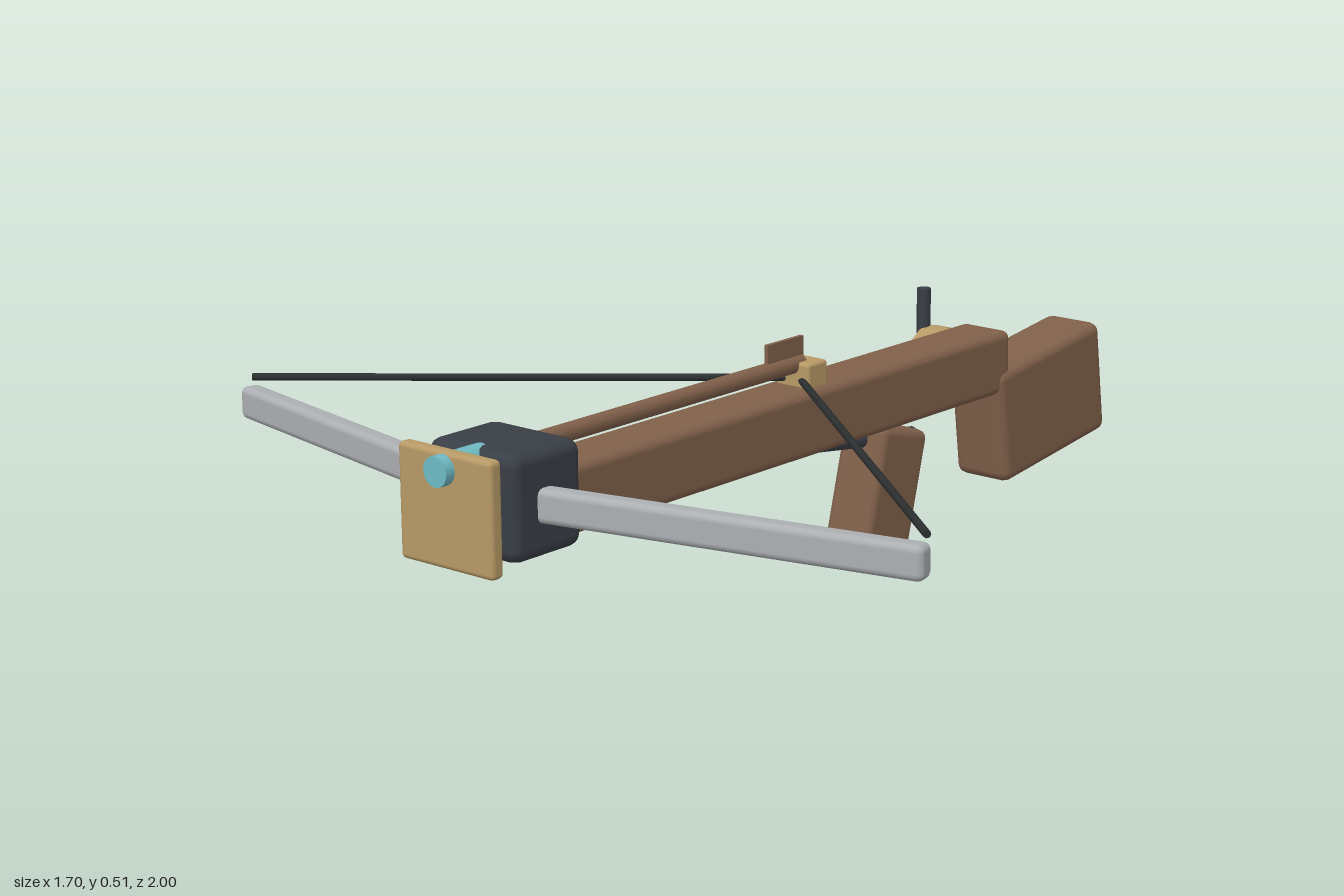
import * as THREE from 'three';
import { RoundedBoxGeometry } from 'three/addons/geometries/RoundedBoxGeometry.js';

const mat = (name, color) => Object.assign(new THREE.MeshStandardMaterial({ color }), { name });

export function createModel() {
  const wood = mat('wood', 0x80604a);
  const brass = mat('brass', 0xb89a66);
  const iron = mat('dark iron', 0x393e46);
  const steel = mat('steel', 0xacafb2);
  const teal = mat('teal tip', 0x6fbac4);
  const cord = mat('cord', 0x2c2f30);

  const model = new THREE.Group();
  model.name = 'crossbow';

  const add = (name, geometry, material, x, y, z) => {
    const mesh = new THREE.Mesh(geometry, material);
    mesh.name = name;
    mesh.position.set(x, y, z);
    model.add(mesh);
    return mesh;
  };
  // Box with softened edges
  const block = (name, material, [w, h, d], [x, y, z], radius) =>
    add(name, new RoundedBoxGeometry(w, h, d, 2, radius), material, x, y, z);
  // Round bar between two points
  const bar = (name, material, from, to, radius, sides = 12) => {
    const a = new THREE.Vector3(...from), b = new THREE.Vector3(...to);
    const dir = b.clone().sub(a);
    const mid = a.clone().add(b).multiplyScalar(0.5);
    const mesh = add(name, new THREE.CylinderGeometry(radius, radius, dir.length(), sides), material, mid.x, mid.y, mid.z);
    mesh.quaternion.setFromUnitVectors(new THREE.Vector3(0, 1, 0), dir.normalize());
    return mesh;
  };

  // Wooden body
  block('tiller', wood, [0.124, 0.135, 1.5], [0, 0.348, 0.1], 0.018);
  block('shoulderStock', wood, [0.138, 0.25, 0.375], [0, 0.228, -0.802], 0.022).rotation.x = 0.13;
  block('grip', wood, [0.114, 0.262, 0.155], [0, 0.145, -0.267], 0.02).rotation.x = -0.26;

  // Head and front plate
  block('headBlock', iron, [0.222, 0.204, 0.182], [0, 0.382, 0.824], 0.025);
  block('frontPlate', brass, [0.232, 0.22, 0.031], [0, 0.38, 0.963], 0.01);

  // Bow limbs and string, mirrored
  for (const s of [1, -1]) {
    const side = s > 0 ? 'left' : 'right';
    block(side + 'Limb', steel, [0.82, 0.066, 0.044], [s * 0.447, 0.38, 0.761], 0.014).rotation.y = s * 0.21;
    bar(side + 'String', cord, [s * 0.02, 0.428, 0], [s * 0.842, 0.428, 0.67], 0.0075, 8);
  }

  // Loaded bolt
  bar('boltShaft', wood, [0, 0.458, -0.02], [0, 0.458, 0.9], 0.018);
  bar('boltTip', teal, [0, 0.457, 0.88], [0, 0.457, 1], 0.029, 16);
  add('boltFin', new THREE.BoxGeometry(0.009, 0.05, 0.11), wood, 0, 0.488, 0.03);

  // Nut that holds the string
  block('nut', brass, [0.084, 0.06, 0.062], [0, 0.435, -0.025], 0.008);

  // Trigger bar through the grip
  bar('triggerBar', iron, [0, 0.277, -0.075], [0, 0.233, -0.385], 0.017);

  // Winding wheel and handle on the right side
  bar('crankWheel', brass, [-0.06, 0.335, -0.59], [-0.116, 0.335, -0.59], 0.076, 16);
  bar('crankHandle', iron, [-0.123, 0.335, -0.585], [-0.123, 0.491, -0.585], 0.015);

  return model;
}
